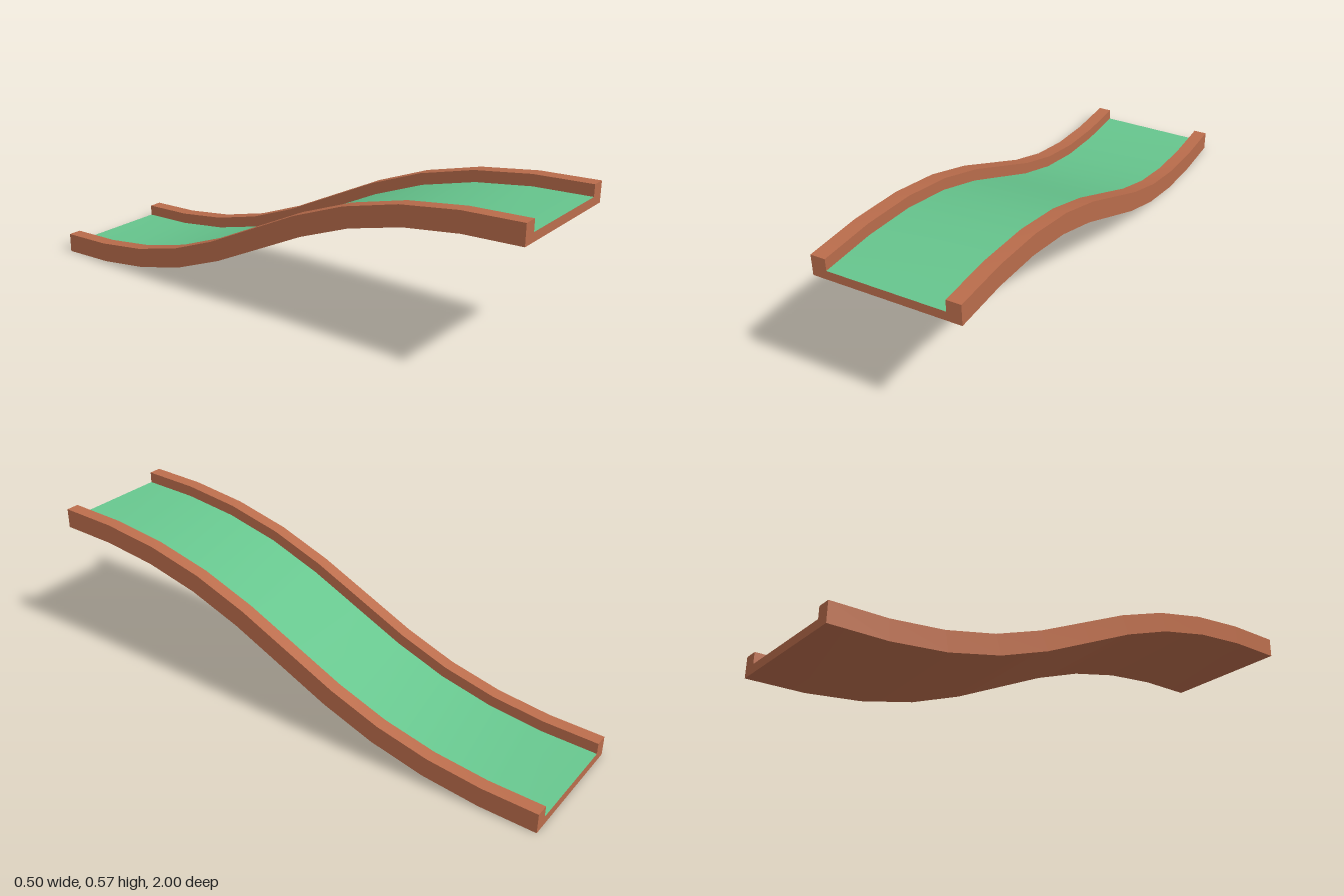
import * as THREE from 'three';
import { mergeGeometries } from 'three/addons/utils/BufferGeometryUtils.js';

const SEGMENTS = 10;
const TOP = 0.073, FLOOR = 0.0315, OUTER = 0.25, INNER = 0.2;

// S-shaped slope, running from the high front end to the low back end
const path = new THREE.CubicBezierCurve3(
  new THREE.Vector3(0, 0.5, 1), new THREE.Vector3(0, 0.5, 0),
  new THREE.Vector3(0, 0, 0), new THREE.Vector3(0, 0, -1));

// One edge of the cross-section swept along the path
function strip([ax, ay], [bx, by]) {
  const pos = [], uv = [], index = [];
  for (let i = 0; i <= SEGMENTS; i++) {
    const u = i / SEGMENTS;
    const p = path.getPointAt(u), t = path.getTangentAt(u);
    for (const [x, y] of [[ax, ay], [bx, by]]) {
      pos.push(x, p.y - t.z * y, p.z + t.y * y);
      uv.push(x, u);
    }
    if (i < SEGMENTS) {
      const a = i * 2, b = a + 1, c = a + 2, d = a + 3;
      index.push(a, c, b, b, c, d);
    }
  }
  const g = new THREE.BufferGeometry();
  g.setAttribute('position', new THREE.Float32BufferAttribute(pos, 3));
  g.setAttribute('uv', new THREE.Float32BufferAttribute(uv, 2));
  g.setIndex(index);
  g.computeVertexNormals();
  return g;
}

export function createModel() {
  const brown = new THREE.MeshStandardMaterial({ color: 0xbb6d4c });
  brown.name = 'brown';
  const green = new THREE.MeshStandardMaterial({ color: 0x67c68e });
  green.name = 'green';

  // Shallow channel section, counter-clockwise seen from the front
  const section = [
    [-OUTER, 0], [OUTER, 0], [OUTER, TOP], [INNER, TOP],
    [INNER, FLOOR], [-INNER, FLOOR], [-INNER, TOP], [-OUTER, TOP],
  ];
  const FLOOR_EDGE = 4;
  const strips = section.map((p, i) => strip(p, section[(i + 1) % section.length]));
  const [floorGeometry] = strips.splice(FLOOR_EDGE, 1);

  // Flat ends
  const shape = new THREE.Shape(section.map(([x, y]) => new THREE.Vector2(x, y)));
  const frontEnd = new THREE.ShapeGeometry(shape).translate(0, 0.5, 1);
  const backEnd = new THREE.ShapeGeometry(shape).rotateY(Math.PI).translate(0, 0, -1);

  const frame = new THREE.Mesh(mergeGeometries([...strips, frontEnd, backEnd]), brown);
  frame.name = 'frame';
  const floor = new THREE.Mesh(floorGeometry, green);
  floor.name = 'floor';

  const group = new THREE.Group();
  group.name = 'slopedTrack';
  group.add(frame, floor);
  return group;
}
